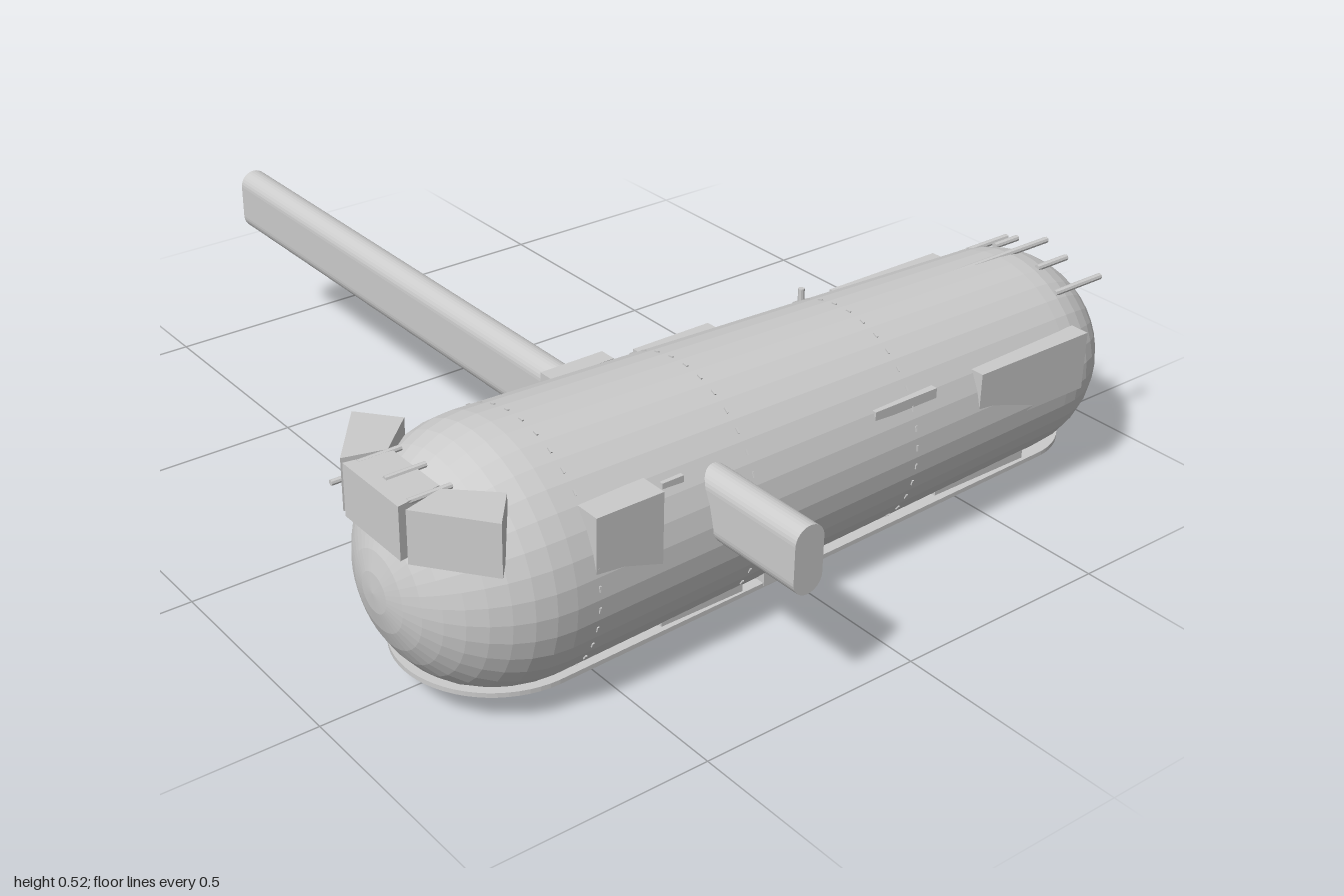
import * as THREE from 'three';

const CX = 0.53, CY = 0.267; // hull axis
const Z1 = 0.63, R1 = 0.262, Z0 = -0.67, R0 = 0.225; // front and rear cap centres and radii
const radiusAt = z => R0 + (R1 - R0) * (z - Z0) / (Z1 - Z0);

export function createModel() {
  const model = new THREE.Group();
  const mat = new THREE.MeshStandardMaterial({ color: 0xcccccc, flatShading: true });

  function add(name, geo, x = 0, y = 0, z = 0) {
    const m = new THREE.Mesh(geo, mat);
    m.name = name;
    m.position.set(x, y, z);
    model.add(m);
    return m;
  }
  // Box given by its limits on each axis
  const box = (name, [x0, x1], [y0, y1], [z0, z1]) => add(name,
    new THREE.BoxGeometry(x1 - x0, y1 - y0, z1 - z0), (x0 + x1) / 2, (y0 + y1) / 2, (z0 + z1) / 2);
  // Thin rod along z
  const rod = (name, x, y, z0, z1, r = 0.006) => add(name,
    new THREE.CylinderGeometry(r, r, z1 - z0, 8).rotateX(Math.PI / 2), x, y, (z0 + z1) / 2);
  // Plan outline (x, z) raised into a slab
  function slab(name, shape, y0, h) {
    const g = new THREE.ExtrudeGeometry(shape, { depth: h, bevelEnabled: false, curveSegments: 16 });
    return add(name, g.rotateX(-Math.PI / 2), 0, y0, 0);
  }

  // Tapered hull with rounded ends
  const profile = [];
  for (let i = 0; i <= 10; i++) {
    const a = i / 10 * Math.PI / 2;
    profile.push(new THREE.Vector2(R0 * Math.sin(a), Z0 - R0 * Math.cos(a)));
  }
  for (let i = 0; i <= 10; i++) {
    const a = i / 10 * Math.PI / 2;
    profile.push(new THREE.Vector2(R1 * Math.cos(a), Z1 + R1 * Math.sin(a)));
  }
  add('hull', new THREE.LatheGeometry(profile, 36).rotateX(Math.PI / 2), CX, CY, 0);

  // Long cross arm with a rounded upright section
  const w = 0.034, armH = 0.144;
  const section = new THREE.Shape();
  section.absarc(0, armH / 2 - w, w, 0, Math.PI);
  section.absarc(0, -armH / 2 + w, w, Math.PI, Math.PI * 2);
  section.closePath();
  const armGeo = new THREE.ExtrudeGeometry(section, { depth: 2, bevelEnabled: false, curveSegments: 8 });
  add('crossArm', armGeo.translate(0, 0, -1).rotateY(Math.PI / 2), 0, 0.343, 0.28);

  // Nose panels: one in the centre, one angled on each side
  const plan = pts => new THREE.Shape(pts.map(([x, z]) => new THREE.Vector2(CX + x, -z)));
  slab('nosePanelCentre', plan([[-0.092, 0.885], [0.092, 0.885], [0.075, 0.79], [-0.075, 0.79]]), 0.38, 0.11);
  for (const s of [-1, 1]) {
    const pts = [[0.108, 0.88], [0.243, 0.775], [0.165, 0.71], [0.085, 0.795]].map(([x, z]) => [s * x, z]);
    slab('nosePanelSide', plan(s > 0 ? pts : pts.reverse()), 0.38, 0.11);
    rod('nosePin', CX + s * 0.082, 0.486, 0.77, 0.86);
  }
  rod('nosePin', CX, 0.49, 0.77, 0.855);
  rod('noseProbe', 0.345, 0.395, 0.77, 0.86);

  // Tail rods: x, y, back end, front end
  const tailRods = [
    [0.345, 0.405, -0.82, -0.58], [0.4, 0.443, -0.84, -0.72], [0.465, 0.475, -0.8, -0.73],
    [0.53, 0.489, -0.82, -0.52], [0.597, 0.475, -0.81, -0.72], [0.66, 0.443, -0.85, -0.71],
  ];
  for (const [x, y, z0, z1] of tailRods) rod('tailRod', x, y, z0, z1, 0.007);

  // Boxes on the left side
  box('leftFrontBox', [0.725, 0.785], [0.27, 0.435], [0.435, 0.585]);
  box('leftSmallBlock', [0.7, 0.742], [0.4, 0.42], [0.355, 0.405]);
  box('leftStrip', [0.7, 0.745], [0.37, 0.392], [-0.285, -0.12]);
  box('leftRearBox', [0.715, 0.758], [0.26, 0.39], [-0.71, -0.4]);

  // Boxes on the right side
  box('rightFrontBox', [0.303, 0.342], [0.37, 0.445], [0.21, 0.36]);
  box('rightMiddleBox', [0.295, 0.322], [0.33, 0.42], [-0.07, 0.125]);
  box('rightRearBox', [0.306, 0.34], [0.31, 0.405], [-0.71, -0.4]);
  add('smallSensor', new THREE.CylinderGeometry(0.007, 0.007, 0.05, 8), 0.357, 0.44, -0.27);

  // Thin tapered flange around the underside
  const fl = new THREE.Shape();
  fl.absarc(CX, -0.63, 0.205, Math.PI, Math.PI * 2);
  fl.absarc(CX, 0.67, 0.162, 0, Math.PI);
  fl.closePath();
  slab('keelFlange', fl, 0.074, 0.01);

  // Low fittings along the flange, on both sides
  for (const s of [-1, 1]) {
    const fit = (name, x, h, z0, z1) => {
      const c = CX + s * x;
      box(name, [c - 0.03, c + 0.03], [0.078, 0.078 + h], [z0, z1]);
    };
    fit('flangeRail', 0.155, 0.025, 0.18, 0.38);
    fit('flangeBlock', 0.16, 0.038, 0.08, 0.13);
    fit('flangeRearRail', 0.125, 0.03, -0.63, -0.37);
  }

  // Round pad under the tail
  add('tailPad', new THREE.CylinderGeometry(0.069, 0.069, 0.07, 24), CX, 0.055, -0.72);

  // Rows of fine studs marking the hull joints
  for (const z of [0.58, 0.2, -0.22]) {
    const r = radiusAt(z);
    for (let i = 0; i < 36; i++) {
      const a = (i + 0.5) / 36 * Math.PI * 2;
      const m = add('jointStud', new THREE.BoxGeometry(0.012, 0.004, 0.004),
        CX + r * Math.cos(a), CY + r * Math.sin(a), z);
      m.rotation.z = a + Math.PI / 2;
    }
  }
  return model;
}
